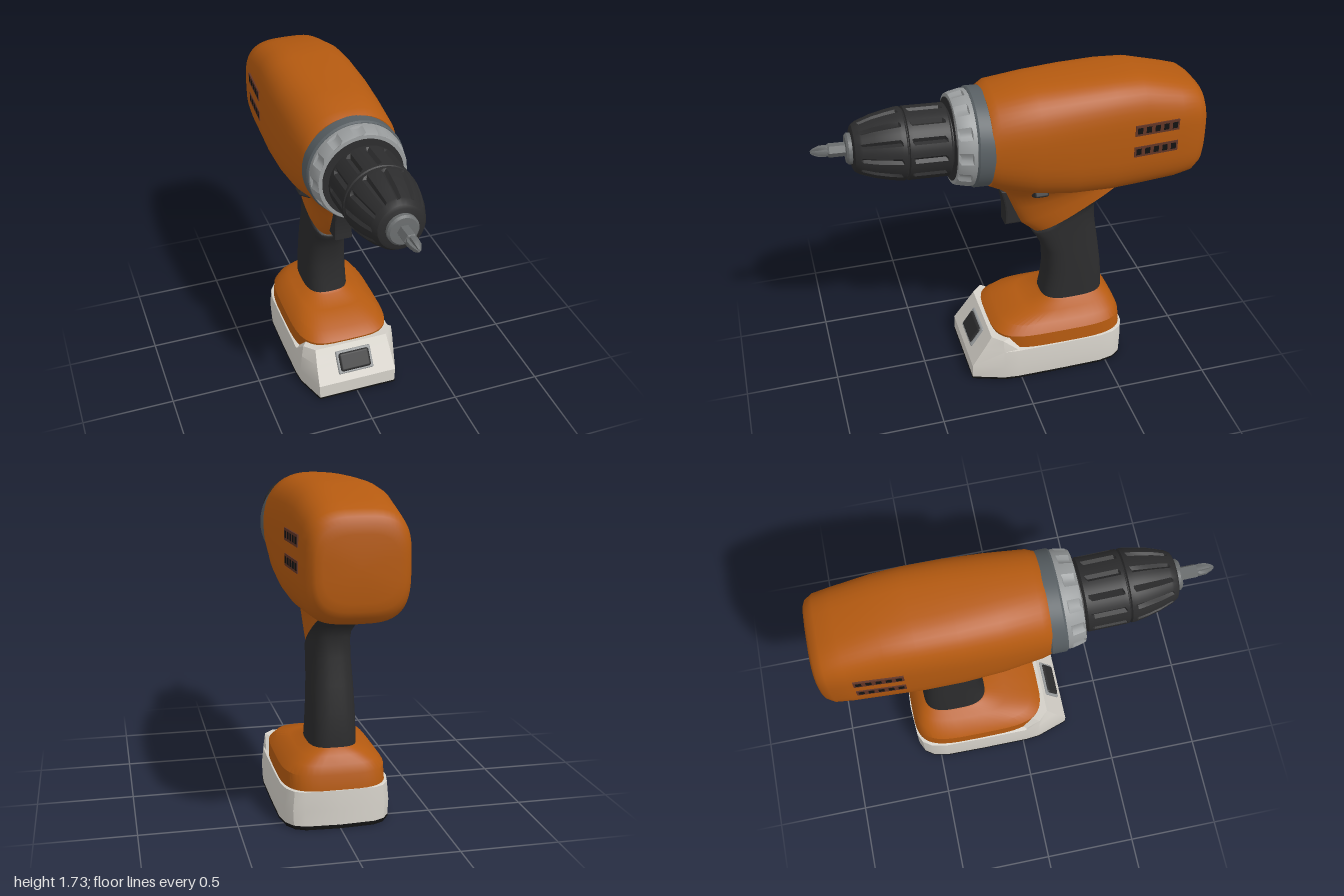
import * as THREE from 'three';
import { toCreasedNormals } from 'three/addons/utils/BufferGeometryUtils.js';
import { RoundedBoxGeometry } from 'three/addons/geometries/RoundedBoxGeometry.js';

const paint = (name, color) => Object.assign(new THREE.MeshStandardMaterial({ color }), { name });

// Closed skin through rings of equal point count, capped at both ends.
function loft(rings, crease = 0.6) {
  const n = rings[0].length, last = rings.length - 1, pos = [], idx = [];
  rings.forEach((r) => r.forEach((p) => pos.push(...p)));
  for (const r of [rings[0], rings[last]])
    pos.push(...[0, 1, 2].map((k) => r.reduce((s, p) => s + p[k], 0) / n));
  for (let j = 0; j < last; j++)
    for (let i = 0; i < n; i++) {
      const a = j * n + i, b = j * n + (i + 1) % n;
      idx.push(a, b, b + n, a, b + n, a + n);
    }
  const c = rings.length * n;
  for (let i = 0; i < n; i++) {
    const k = (i + 1) % n;
    idx.push(c, k, i, c + 1, last * n + i, last * n + k);
  }
  // Turn the faces outward if the enclosed volume is negative.
  const v = (i) => new THREE.Vector3().fromArray(pos, idx[i] * 3);
  let volume = 0;
  for (let i = 0; i < idx.length; i += 3) volume += v(i).dot(v(i + 1).cross(v(i + 2)));
  if (volume < 0) idx.reverse();
  const g = new THREE.BufferGeometry();
  g.setAttribute('position', new THREE.Float32BufferAttribute(pos, 3));
  g.setIndex(idx);
  return toCreasedNormals(g, crease);
}

// Superellipse ring between two [z, y] points, with half width w and squareness e.
function ring([z1, y1], [z2, y2], w, e, n = 48) {
  const pw = (t) => Math.sign(t) * Math.abs(t) ** (2 / e);
  return Array.from({ length: n }, (_, i) => {
    const a = (i / n) * Math.PI * 2, s = pw(Math.sin(a)) / 2;
    return [w * pw(Math.cos(a)), (y1 + y2) / 2 + s * (y1 - y2), (z1 + z2) / 2 + s * (z1 - z2)];
  });
}

// Turned part along z from [z, radius, groove depth]; inGroove picks the grooved points.
function turned(profile, inGroove = () => false, n = 72) {
  return loft(profile.map(([z, r, d = 0]) => Array.from({ length: n }, (_, i) => {
    const a = (i / n) * Math.PI * 2, q = r - (inGroove(i) ? d : 0);
    return [q * Math.cos(a), q * Math.sin(a), z];
  })), 0.5);
}

export function createModel() {
  const orange = paint('orange shell', 0xb55a10);
  const dark = paint('dark rubber', 0x2c2c2d);
  const light = paint('off-white plastic', 0xd6d2ca);
  const slate = paint('slate collar', 0x585f63);
  const silver = paint('light grey ring', 0x989b9c);
  const steel = paint('steel', 0x6a6d6e);
  const black = paint('black', 0x121212);
  const brown = paint('vent brown', 0x623526);

  const model = new THREE.Group();
  model.name = 'cordlessDrill';
  const add = (name, geometry, material, parent = model) => {
    const m = new THREE.Mesh(geometry, material);
    m.name = name;
    parent.add(m);
    return m;
  };

  // Motor housing: z, bottom, top, half width, squareness
  add('motorHousing', loft([
    [0.14, 1.18, 1.69, 0.25, 2.2], [0.1, 1.165, 1.71, 0.257, 2.4],
    [-0.1, 1.11, 1.724, 0.27, 2.7], [-0.3, 1.09, 1.73, 0.274, 3],
    [-0.5, 1.085, 1.732, 0.27, 3.2], [-0.65, 1.09, 1.725, 0.262, 3.2],
    [-0.85, 1.105, 1.672, 0.25, 3.3], [-0.94, 1.125, 1.645, 0.243, 3.3],
    [-0.98, 1.16, 1.615, 0.223, 3.3], [-0.993, 1.19, 1.585, 0.205, 3.2], [-1, 1.23, 1.54, 0.175, 3],
  ].map(([z, b, t, w, e]) => ring([z, t], [z, b], w, e)), 0.9), orange);

  // Grip and neck share the slanted joint ring
  const joint = ring([-0.13, 0.82], [-0.66, 1.12], 0.11, 2.8);
  add('grip', loft([
    ring([-0.175, 0.37], [-0.53, 0.37], 0.125, 3),
    ring([-0.19, 0.45], [-0.53, 0.45], 0.122, 3),
    ring([-0.2, 0.56], [-0.52, 0.56], 0.118, 3),
    ring([-0.19, 0.69], [-0.5, 0.7], 0.112, 3),
    ring([-0.145, 0.78], [-0.478, 0.84], 0.105, 3),
    ring([-0.125, 0.81], [-0.47, 0.95], 0.104, 3),
    ring([-0.125, 0.815], [-0.5, 1.01], 0.105, 3),
    ring([-0.128, 0.818], [-0.57, 1.06], 0.107, 2.8),
    joint,
  ], 0.9), dark);
  add('neck', loft([
    joint,
    ring([-0.04, 0.9], [-0.64, 1.13], 0.108, 2.8),
    ring([0, 1], [-0.62, 1.14], 0.115, 2.8),
    ring([0.035, 1.1], [-0.6, 1.16], 0.145, 2.6),
    ring([0.09, 1.15], [-0.56, 1.18], 0.19, 2.5),
    ring([0.12, 1.22], [-0.5, 1.25], 0.23, 2.5),
  ], 0.9), orange);

  // Trigger
  const tr = new THREE.Shape();
  tr.moveTo(0.045, 1.1);
  tr.quadraticCurveTo(0.012, 1.0, 0.022, 0.905);
  tr.lineTo(-0.06, 0.905);
  tr.lineTo(-0.06, 1.1);
  const trigger = new THREE.ExtrudeGeometry(tr, {
    depth: 0.08, bevelSize: 0.01, bevelThickness: 0.01, bevelSegments: 2, curveSegments: 8,
  });
  trigger.translate(0, 0, -0.04).rotateY(-Math.PI / 2);
  add('trigger', trigger, dark);

  // Direction switch ends on both sides, and vents
  for (const s of [1, -1]) {
    const sw = add('directionSwitch', new RoundedBoxGeometry(0.08, 0.035, 0.075, 2, 0.01), dark);
    sw.position.set(s * 0.165, 1.14, -0.122);
    sw.rotation.z = s * 0.5;
    for (const y of [1.49, 1.37]) {
      const vent = new THREE.Group();
      vent.name = 'vent';
      vent.position.set(s * 0.2585, y, -0.702);
      vent.rotation.y = s * 0.0585;
      model.add(vent);
      add('ventPlate', new THREE.BoxGeometry(0.008, 0.058, 0.24), brown, vent);
      for (let i = -2; i <= 2; i++)
        add('ventSlot', new THREE.BoxGeometry(0.0098, 0.034, 0.028), black, vent).position.z = i * 0.048;
    }
  }

  // Front end: everything on the slightly raised drive axis
  const drive = new THREE.Group();
  drive.name = 'drive';
  drive.position.set(0, 1.435, 0.15);
  drive.rotation.x = -0.045;
  model.add(drive);
  add('collar', turned([[-0.02, 0.25], [-0.01, 0.257], [0.06, 0.257], [0.07, 0.25]]), slate, drive);
  add('torqueRing', turned([
    [0.065, 0.247], [0.09, 0.247], [0.095, 0.247, 0.012], [0.15, 0.235, 0.012],
    [0.162, 0.228], [0.164, 0.205],
  ], (i) => i % 6 < 2), silver, drive);
  add('chuckSeat', turned([[0.15, 0.21], [0.168, 0.21]]), dark, drive);
  const flute = (i) => i % 6 === 0;
  add('chuckSleeve', turned([
    [0.16, 0.16], [0.175, 0.16], [0.176, 0.175], [0.185, 0.185], [0.2, 0.185], [0.215, 0.185, 0.016],
    [0.365, 0.185, 0.016], [0.375, 0.185], [0.388, 0.184], [0.393, 0.175], [0.4, 0.175],
  ], flute), dark, drive);
  add('chuckNose', turned([
    [0.395, 0.175], [0.402, 0.184], [0.42, 0.184], [0.43, 0.183, 0.014], [0.48, 0.174, 0.018],
    [0.55, 0.157, 0.018], [0.61, 0.135, 0.012], [0.62, 0.132], [0.645, 0.115], [0.652, 0.1],
  ], flute), dark, drive);
  add('chuckMouth', turned([[0.64, 0.078], [0.67, 0.078], [0.68, 0.068], [0.681, 0.045]]), steel, drive);
  add('bitShaft', turned([[0.67, 0.035], [0.76, 0.035], [0.772, 0.026]], undefined, 6), steel, drive);
  add('bitTip', turned([
    [0.76, 0.028], [0.78, 0.03, 0.008], [0.81, 0.028, 0.014], [0.84, 0.015, 0.008], [0.85, 0.007, 0.003],
  ], (i) => i % 4 === 2, 16), steel, drive);

  // Foot above the battery
  add('foot', loft([
    ring([0.12, 0.2], [-0.618, 0.2], 0.272, 4),
    ring([0.135, 0.28], [-0.61, 0.28], 0.268, 4),
    ring([0.08, 0.325], [-0.592, 0.325], 0.235, 4),
    ring([-0.06, 0.355], [-0.565, 0.365], 0.18, 3.5),
    ring([-0.165, 0.378], [-0.54, 0.388], 0.132, 3),
    ring([-0.18, 0.39], [-0.53, 0.395], 0.12, 3),
  ], 0.5), orange);

  // Battery: chamfered plan, with a raised lip at the front
  const plan = (front, s, height) => {
    const half = [[0.225, front], [0.282, 0.1], [0.29, 0.02], [0.29, -0.25], [0.287, -0.46],
      [0.27, -0.54], [0.235, -0.59], [0.18, -0.615]];
    const full = [...half, [0, -0.625], ...half.map(([x, z]) => [-x, z]).reverse(), [0, front]];
    return full.map(([x, z]) => [x * s, height(z), z]);
  };
  add('battery', loft([
    plan(0.27, 0.985, () => 0.018),
    plan(0.27, 1, () => 0.1),
    plan(0.202, 0.965, () => 0.2),
    plan(0.155, 0.93, (z) => (z > 0.08 ? 0.272 : 0.202)),
  ], 0.45), light);
  add('batteryBase', loft([
    plan(0.262, 0.96, () => 0),
    plan(0.272, 0.99, () => 0.01),
    plan(0.272, 0.99, () => 0.02),
  ], 0.4), black);

  // Battery release button on the sloping front
  const release = new THREE.Group();
  release.name = 'batteryRelease';
  release.position.set(0, 0.19, 0.21);
  release.rotation.x = -0.595;
  model.add(release);
  add('releaseFrame', new RoundedBoxGeometry(0.205, 0.13, 0.02, 2, 0.008), silver, release);
  add('releaseButton', new RoundedBoxGeometry(0.18, 0.106, 0.04, 3, 0.015), dark, release);

  return model;
}
